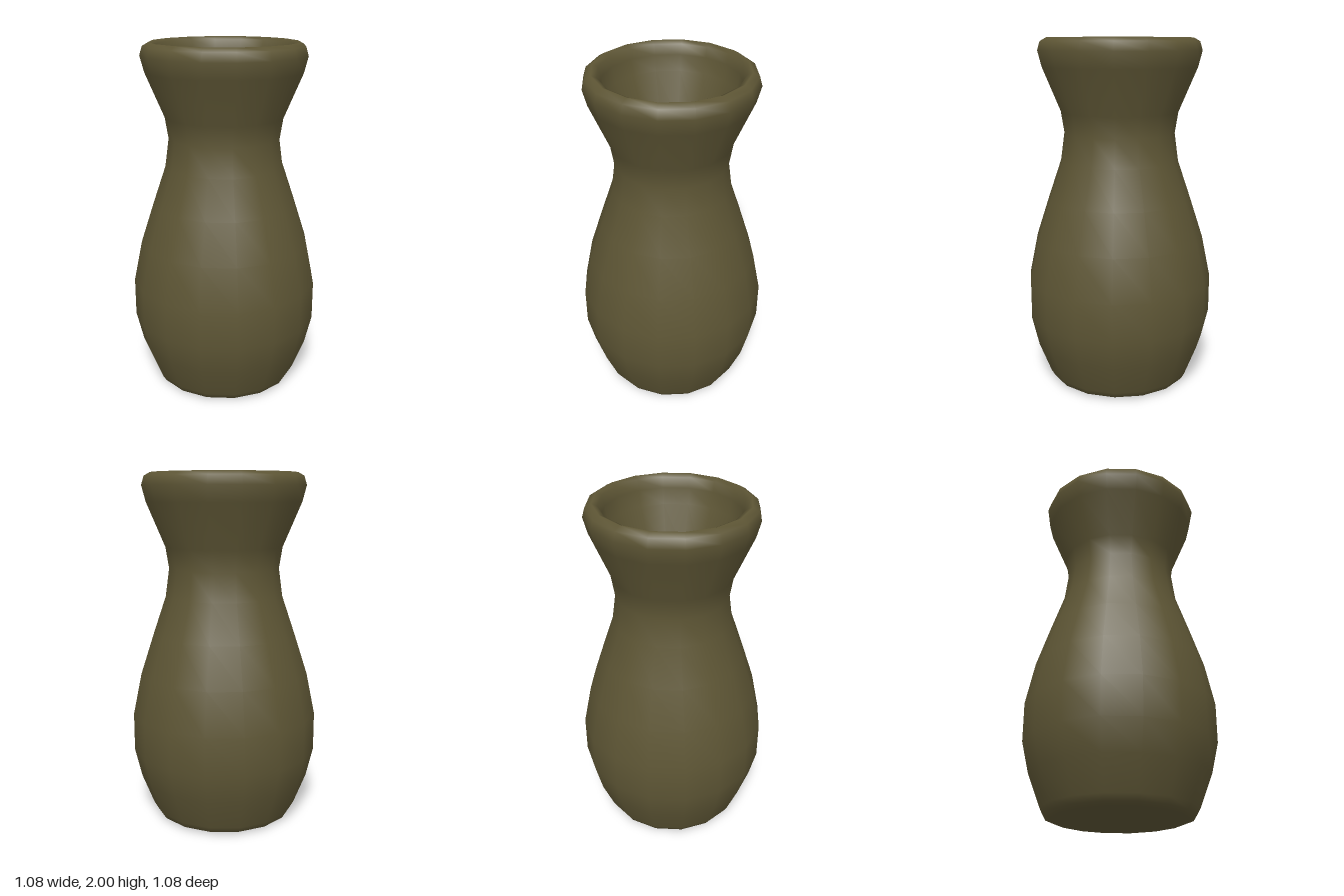
import * as THREE from 'three';

const SIDES = 16;

// Turns a list of [radius, height] pairs into a smooth lathed mesh
function turned(name, profile, material) {
  const points = profile.map(([r, y]) => new THREE.Vector2(r, y));
  const mesh = new THREE.Mesh(new THREE.LatheGeometry(points, SIDES), material);
  mesh.name = name;
  return mesh;
}

export function createModel() {
  const clay = new THREE.MeshStandardMaterial({ color: 0x5e5635 });

  const profile = [
    // underside and foot
    [0, 0], [0.37, 0], [0.41, 0.015], [0.43, 0.05],
    // belly
    [0.5, 0.23], [0.54, 0.4], [0.54, 0.62], [0.49, 0.86], [0.415, 1.09],
    // neck
    [0.34, 1.31], [0.318, 1.47], [0.337, 1.59],
    // flared lip
    [0.442, 1.84], [0.465, 1.93], [0.45, 1.98], [0.415, 2], [0.385, 1.985], [0.37, 1.93],
    // inner throat
    [0.355, 1.84], [0.257, 1.59], [0.237, 1.47], [0.257, 1.31],
    // hollow inside down to the floor
    [0.335, 1.09], [0.41, 0.86], [0.46, 0.62], [0.46, 0.4], [0.42, 0.23], [0.36, 0.09], [0, 0.08],
  ];

  const group = new THREE.Group();
  group.name = 'vase';
  group.add(turned('vaseBody', profile, clay));
  return group;
}
